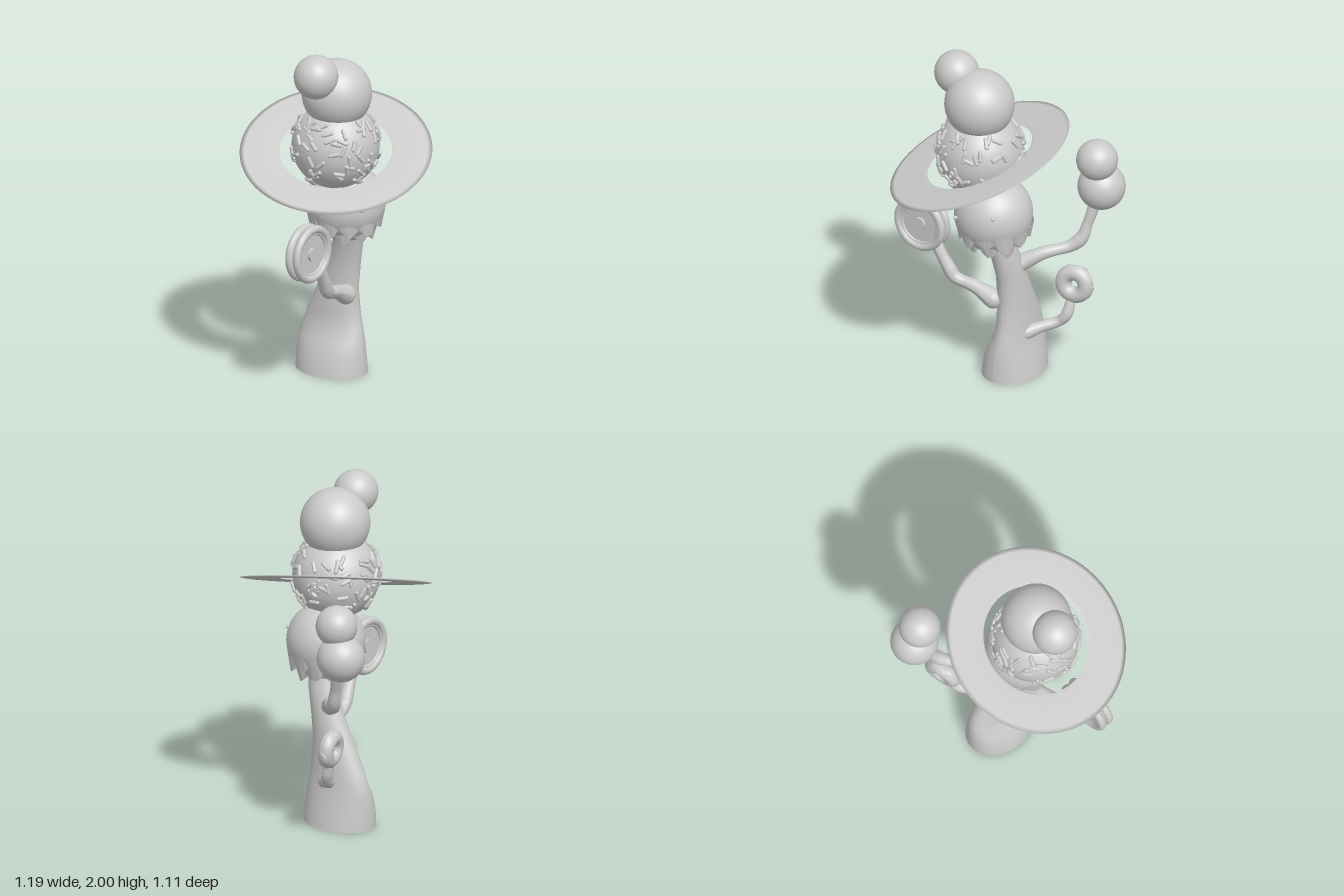
import * as THREE from 'three';
import { mergeGeometries } from 'three/addons/utils/BufferGeometryUtils.js';

const grey = new THREE.MeshStandardMaterial({ color: 0xcccccc });
const greyThin = new THREE.MeshStandardMaterial({ color: 0xcccccc, side: THREE.DoubleSide });
const V = (x, y, z) => new THREE.Vector3(x, y, z);

export function createModel() {
  const model = new THREE.Group();
  let seed = 7;
  const rand = () => (seed = (seed * 16807) % 2147483647) / 2147483647;

  function add(name, geometry, x = 0, y = 0, z = 0, parent = model, material = grey) {
    const mesh = new THREE.Mesh(geometry, material);
    mesh.name = name;
    mesh.position.set(x, y, z);
    parent.add(mesh);
    return mesh;
  }
  const ball = (name, r, x, y, z) => add(name, new THREE.SphereGeometry(r, 40, 28), x, y, z);

  // Visit each vertex of a geometry and let a rule move it
  function reshape(geometry, rule) {
    const p = geometry.attributes.position, v = V(0, 0, 0);
    for (let i = 0; i < p.count; i++) {
      rule(v.fromBufferAttribute(p, i), i);
      p.setXYZ(i, v.x, v.y, v.z);
    }
    geometry.computeVertexNormals();
    return geometry;
  }

  // Trunk: oval rings from top to bottom, as [y, xMin, xMax, zMin, zMax]
  const rings = [
    [1.00, -0.06, 0.09, -0.07, 0.11], [0.90, -0.04, 0.12, -0.085, 0.10],
    [0.80, -0.01, 0.15, -0.10, 0.08], [0.65, 0.01, 0.165, -0.15, 0.05],
    [0.50, 0.00, 0.175, -0.22, 0.035], [0.35, -0.005, 0.185, -0.295, 0.05],
    [0.26, -0.015, 0.19, -0.325, 0.07], [0.20, -0.05, 0.20, -0.34, 0.085],
    [0.10, -0.09, 0.22, -0.345, 0.095], [0.00, -0.105, 0.235, -0.345, 0.10],
  ];
  const trunk = new THREE.CylinderGeometry(1, 1, 1, 40, rings.length - 1);
  add('trunk', reshape(trunk, v => {
    const [y, x0, x1, z0, z1] = rings[Math.round((0.5 - v.y) * (rings.length - 1))];
    v.set((x0 + x1) / 2 + v.x * (x1 - x0) / 2, y, (z0 + z1) / 2 + v.z * (z1 - z0) / 2);
  }));

  // Branches: tubes whose radius changes along the path, with rounded ends
  function branch(name, points, radii) {
    const path = new THREE.CatmullRomCurve3(points.map(p => V(...p)), false, 'centripetal');
    const n = 40, sides = 14, group = new THREE.Group();
    const radiusAt = t => {
      const s = t * (radii.length - 1), i = Math.min(Math.floor(s), radii.length - 2);
      return THREE.MathUtils.lerp(radii[i], radii[i + 1], s - i);
    };
    const tube = new THREE.TubeGeometry(path, n, 1, sides);
    reshape(tube, (v, i) => {
      const t = Math.floor(i / (sides + 1)) / n, c = path.getPointAt(t);
      v.sub(c).multiplyScalar(radiusAt(t)).add(c);
    });
    group.name = name;
    add('limb', tube, 0, 0, 0, group);
    [0, 1].forEach(t => add('limbEnd', new THREE.SphereGeometry(radiusAt(t), 14, 10), ...path.getPointAt(t).toArray(), group));
    model.add(group);
  }
  branch('upperBranch', [[0.13, 0.71, -0.10], [0.23, 0.77, -0.17], [0.34, 0.80, -0.28],
    [0.39, 0.85, -0.32], [0.41, 0.93, -0.345], [0.435, 1.05, -0.38]], [0.05, 0.038, 0.032, 0.04, 0.03, 0.035]);
  branch('wheelBranch', [[0.01, 0.49, 0.015], [-0.10, 0.54, 0.03], [-0.22, 0.58, 0.06],
    [-0.26, 0.64, 0.07], [-0.31, 0.73, 0.08], [-0.34, 0.79, 0.08]], [0.058, 0.042, 0.034, 0.04, 0.034, 0.034]);
  branch('lowerBranch', [[0.16, 0.27, -0.09], [0.22, 0.295, -0.15], [0.30, 0.325, -0.22],
    [0.34, 0.37, -0.235], [0.355, 0.48, -0.27]], [0.045, 0.032, 0.03, 0.034, 0.025]);

  // Pair of balls on the upper branch
  ball('branchBallLower', 0.137, 0.457, 1.16, -0.42);
  ball('branchBallUpper', 0.119, 0.45, 1.343, -0.385);

  // Scoops stacked on the trunk
  ball('bottomScoop', 0.225, 0.013, 1.05, 0.016);
  ball('middleScoop', 0.25, -0.08, 1.42, 0.012);
  ball('topScoop', 0.2, -0.08, 1.73, 0.02);
  ball('cherry', 0.127, -0.25, 1.872, 0);

  // Eyes
  ball('rightEye', 0.012, -0.11, 1.07, 0.218);
  ball('leftEye', 0.012, 0.13, 1.125, 0.195);

  // Jagged broken edges under the bottom scoop
  function jaggedSkirt(name, rTop, rLow, top, low, depth, teeth) {
    const profile = [[0.06, top], [rLow - 0.04, low + 0.02], [rLow, low], [rTop, top]];
    const segments = teeth * 4, drops = Array.from({ length: teeth }, () => 0.35 + 0.65 * rand());
    const skirt = new THREE.LatheGeometry(profile.map(p => new THREE.Vector2(...p)), segments);
    reshape(skirt, (v, i) => {
      const seg = Math.floor(i / profile.length) % segments, row = i % profile.length;
      const tooth = [0, 0.55, 1, 0.8][seg % 4] * drops[Math.floor(seg / 4)];
      if (row === 1 || row === 2) v.y -= depth * tooth;
    });
    const flat = skirt.toNonIndexed();
    flat.computeVertexNormals();
    add(name, flat, 0.018, 0, 0.01, model, greyThin);
  }
  jaggedSkirt('outerBrokenEdge', 0.222, 0.205, 1.0, 0.945, 0.07, 11);
  jaggedSkirt('innerBrokenEdge', 0.19, 0.16, 0.95, 0.89, 0.07, 9);

  // Sprinkles lying on the middle scoop
  const sprinkles = [];
  for (let i = 0; i < 120; i++) {
    const h = -0.78 + 1.5 * rand(), a = i * 2.4 + rand(), w = Math.sqrt(1 - h * h);
    const normal = V(w * Math.cos(a), h, w * Math.sin(a));
    const along = V(rand() - 0.5, rand() - 0.5, rand() - 0.5).cross(normal).normalize();
    const turn = new THREE.Quaternion().setFromUnitVectors(V(0, 1, 0), along);
    sprinkles.push(new THREE.CapsuleGeometry(0.012, 0.048, 3, 8)
      .applyQuaternion(turn).translate(...normal.multiplyScalar(0.253).toArray()));
  }
  add('sprinkles', mergeGeometries(sprinkles), -0.08, 1.42, 0.012);

  // Thin tilted planet ring
  const ringProfile = [[0.318, 0], [0.34, -0.004], [0.52, -0.004], [0.546, 0], [0.52, 0.004], [0.34, 0.004], [0.318, 0]];
  const ring = add('planetRing', new THREE.LatheGeometry(ringProfile.map(p => new THREE.Vector2(...p)), 96),
    -0.081, 1.383, 0.015, model, greyThin);
  ring.quaternion.setFromUnitVectors(V(0, 1, 0), V(-0.313, 0.929, 0.195).normalize());

  // Wheel: two rims, a recessed web and a hub
  const wheel = new THREE.Group();
  wheel.name = 'wheel';
  wheel.position.set(-0.43, 0.88, 0.08);
  model.add(wheel);
  const round = (name, r, depth) =>
    add(name, new THREE.CylinderGeometry(r, r, depth, 40).rotateX(Math.PI / 2), 0, 0, 0, wheel);
  for (const side of [-1, 1]) {
    add('wheelRim', new THREE.TorusGeometry(0.146, 0.023, 14, 48), 0, 0, side * 0.027, wheel);
    add('wheelInnerLip', new THREE.TorusGeometry(0.122, 0.01, 8, 40), 0, 0, side * 0.027, wheel);
  }
  round('wheelWeb', 0.145, 0.05);
  round('wheelHub', 0.04, 0.08);

  // Doughnut with uneven icing on its front
  const doughnut = new THREE.Group();
  doughnut.name = 'doughnut';
  doughnut.position.set(0.365, 0.56, -0.285);
  doughnut.rotation.set(-0.1, 0.2, 0);
  model.add(doughnut);
  add('dough', new THREE.TorusGeometry(0.068, 0.042, 16, 40), 0, 0, 0, doughnut);
  const icing = new THREE.TorusGeometry(0.068, 0.046, 16, 48);
  add('icing', reshape(icing, v => {
    const a = Math.atan2(v.y, v.x), wave = Math.sin(5 * a) + 0.5 * Math.sin(8 * a + 1);
    const c = V(Math.cos(a) * 0.068, Math.sin(a) * 0.068, 0);
    const covered = v.z > 0.012 * wave - 0.012;
    v.sub(c).multiplyScalar(covered ? 1.04 : 0.86).add(c);
  }), 0, 0, 0, doughnut);

  return model;
}
